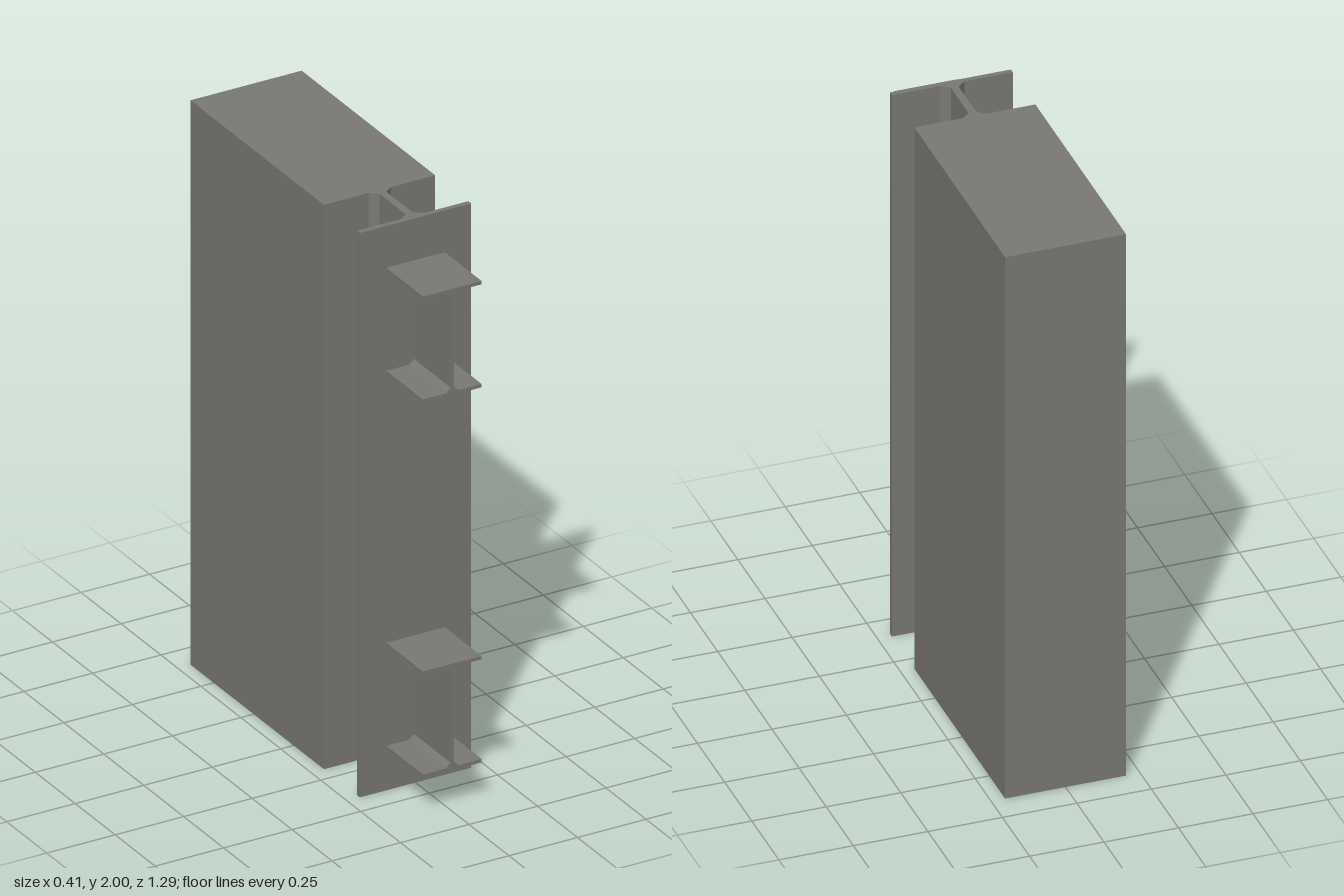
import * as THREE from 'three';

const steel = new THREE.MeshStandardMaterial({ color: 0x7b7974 });
steel.name = 'grey steel';

// Extrudes a section given by its right half, mirrored across x = 0
function extrudeMirrored(half, depth) {
  const left = half.map(([x, y]) => [-x, y]).reverse();
  const shape = new THREE.Shape([...half, ...left].map(([x, y]) => new THREE.Vector2(x, y)));
  return new THREE.ExtrudeGeometry(shape, { depth, bevelEnabled: false });
}

function part(name, geometry) {
  const mesh = new THREE.Mesh(geometry, steel);
  mesh.name = name;
  return mesh;
}

export function createModel() {
  const model = new THREE.Group();
  model.name = 'columnWithBeamStubs';

  // Solid block behind the column
  const block = part('rearBlock', new THREE.BoxGeometry(0.406, 2, 0.836));
  block.position.set(0, 1, -0.228);
  model.add(block);

  // Column: front flange and web with angled fillets; section y runs along -z
  const column = part('column', extrudeMirrored([
    [0.203, -0.415], [0.203, -0.397], [0.04, -0.397], [0.013, -0.375],
    [0.013, -0.212], [0.04, -0.19],
  ], 2).rotateX(-Math.PI / 2));
  model.add(column);

  // Two short I-beams standing out from the column's front flange
  const w = 0.107, h = 0.377, flange = 0.012, web = 0.006, fillet = 0.016;
  const stub = extrudeMirrored([
    [w, 0], [w, flange], [web + fillet, flange], [web, flange + fillet],
    [web, h - flange - fillet], [web + fillet, h - flange], [w, h - flange], [w, h],
  ], 0.23);
  for (const [name, y] of [['lowerBeam', 0.146], ['upperBeam', 1.475]]) {
    const beam = part(name, stub);
    beam.position.set(0, y, 0.415);
    model.add(beam);
  }
  return model;
}
